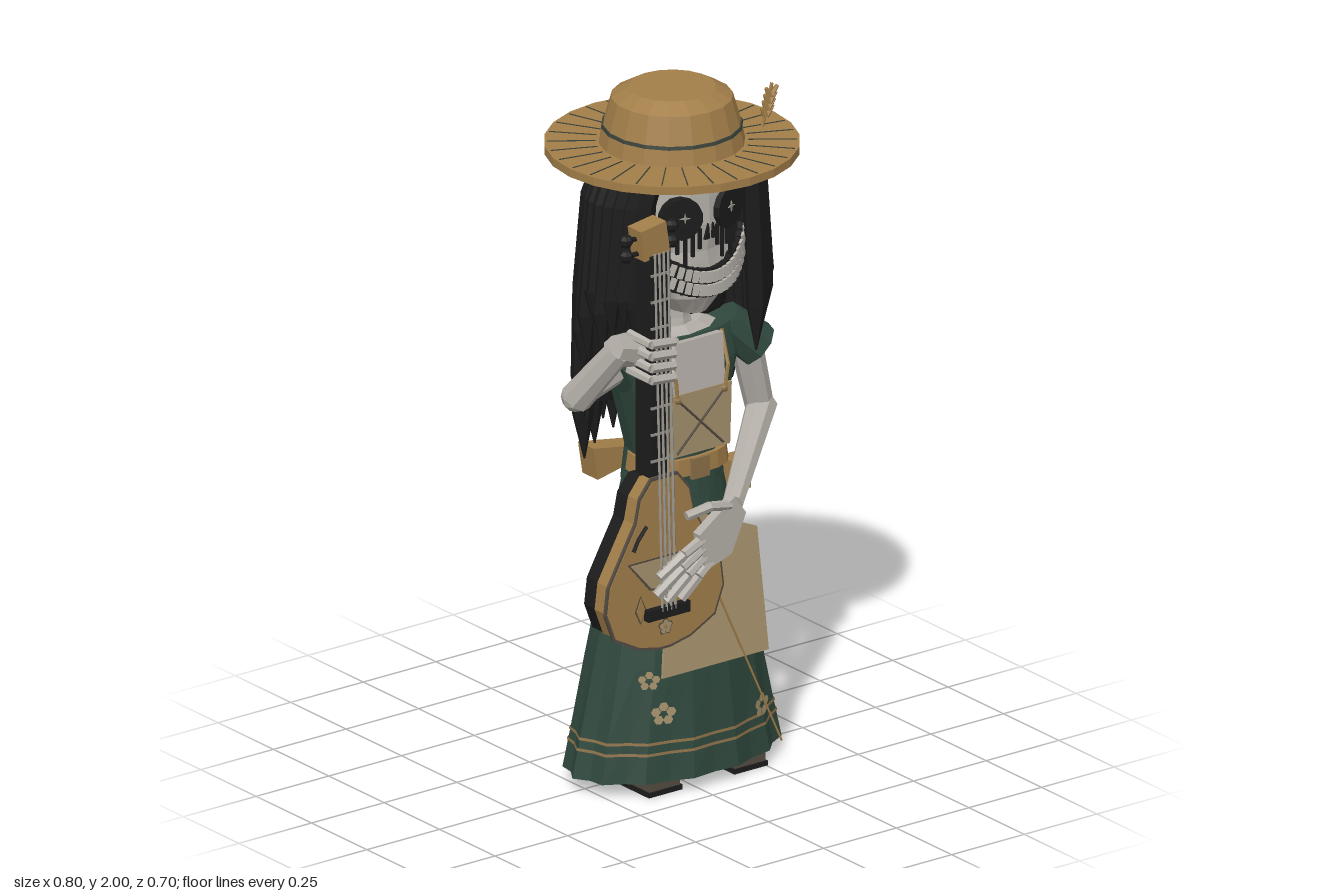
import * as THREE from 'three';

const mat = (name, color) => new THREE.MeshStandardMaterial({ name, color, flatShading: true, side: THREE.DoubleSide });
const STRAW = mat('straw', 0xa27e49), CREAM = mat('cream cloth', 0xa8946e), GREEN = mat('green cloth', 0x2f483d),
  BONE = mat('bone', 0xb4afa8), BLACK = mat('black', 0x1c1c1c), SHOE = mat('shoe brown', 0x554c42),
  STEEL = mat('string grey', 0x96918a), BAND = mat('dark green band', 0x39423a), TRIM = mat('trim', 0x8c7048);

const CX = 0.05; // body axis
const V = (p) => new THREE.Vector3(...p);

export function createModel() {
  const root = new THREE.Group();
  const group = (name) => { const g = new THREE.Group(); g.name = name; root.add(g); return g; };
  const add = (parent, name, geo, m, pos = [0, 0, 0], rot = [0, 0, 0]) => {
    const mesh = new THREE.Mesh(geo, m);
    mesh.name = name;
    mesh.position.set(...pos);
    mesh.rotation.set(...rot);
    parent.add(mesh);
    return mesh;
  };
  const box = (parent, name, m, size, pos, rot) => add(parent, name, new THREE.BoxGeometry(...size), m, pos, rot);

  // Tapered rod between two points
  const rod = (parent, name, m, a, b, r0, r1 = r0, sides = 7) => {
    const A = V(a), B = V(b), d = B.clone().sub(A);
    const mesh = add(parent, name, new THREE.CylinderGeometry(r1, r0, d.length(), sides), m);
    mesh.position.copy(A).add(B).multiplyScalar(0.5);
    mesh.quaternion.setFromUnitVectors(new THREE.Vector3(0, 1, 0), d.normalize());
  };
  const chain = (parent, name, m, pts, r, sides = 6) => {
    for (let i = 1; i < pts.length; i++) rod(parent, name, m, pts[i - 1], pts[i], r, r * 0.9, sides);
  };

  // Oval rings [y, rx, rz, cx, cz] from top to bottom; power squares the oval, pleat folds it
  const loft = (parent, name, m, rings, n = 12, power = 1, pleat = 0, open = false) => {
    const seg = rings.length - 1;
    const geo = new THREE.CylinderGeometry(1, 1, 1, n, seg, open), p = geo.attributes.position;
    const sq = (v) => Math.sign(v) * Math.abs(v) ** power;
    for (let i = 0; i < p.count; i++) {
      const x = p.getX(i), z = p.getZ(i), row = Math.round((0.5 - p.getY(i)) * seg);
      const [y, rx, rz, cx = CX, cz = 0] = rings[row];
      const k = Math.round(Math.atan2(z, x) / Math.PI / 2 * n);
      const f = 1 + (k % 2 ? -pleat : pleat) * (open ? 1 : row / seg);
      p.setXYZ(i, cx + sq(x) * rx * f, y, cz + sq(z) * rz * f);
    }
    geo.computeVertexNormals();
    return add(parent, name, geo, m);
  };
  // Flat outline with a thickness
  const plate = (parent, name, m, pts, depth, pos, rot) => add(parent, name,
    new THREE.ExtrudeGeometry(new THREE.Shape(pts.map(([x, y]) => new THREE.Vector2(x, y))), { depth, bevelEnabled: false }), m, pos, rot);
  const flower = (parent, m, x, y, z, s, turn = 0) => {
    for (let i = 0; i < 5; i++) {
      const a = i * Math.PI * 0.4 + 0.3, dx = Math.cos(a) * s * 0.62;
      add(parent, 'flowerPetal', new THREE.CircleGeometry(s * 0.42, 6), m, [x + dx, y + Math.sin(a) * s * 0.62, z - dx * Math.tan(turn)], [0, turn, 0]);
    }
  };

  // Hat
  const hat = group('hat');
  loft(hat, 'hatBrim', STRAW, [[1.836, 0.352, 0.352], [1.812, 0.352, 0.352]], 24);
  loft(hat, 'hatCrown', STRAW, [[1.997, 0.12, 0.12], [1.97, 0.168, 0.168], [1.885, 0.192, 0.192], [1.83, 0.203, 0.203]], 18);
  loft(hat, 'hatBand', BAND, [[1.891, 0.194, 0.194], [1.882, 0.196, 0.196]], 18);
  for (let i = 0; i < 30; i++) {
    const a = i / 30 * Math.PI * 2;
    box(hat, 'brimStitch', BAND, [0.132, 0.004, 0.003], [CX + Math.cos(a) * 0.276, 1.836, Math.sin(a) * 0.276], [0, -a, 0]);
  }
  rod(hat, 'wheatStem', STRAW, [0.25, 1.875, 0.145], [0.283, 1.995, 0.145], 0.005);
  for (let i = 0; i < 4; i++) for (const s of [-1, 1]) {
    rod(hat, 'wheatGrain', STRAW, [0.262 + i * 0.005, 1.905 + i * 0.018, 0.145], [0.268 + i * 0.005 + s * 0.02, 1.93 + i * 0.018, 0.145], 0.012, 0.005, 5);
  }

  // Skull
  const head = group('skull');
  loft(head, 'skullBone', BONE, [[1.82, 0.1, 0.1, 0.055, 0.02], [1.75, 0.145, 0.14, 0.055, 0.02], [1.64, 0.148, 0.143, 0.055, 0.02],
    [1.56, 0.13, 0.132, 0.055, 0.02], [1.49, 0.165, 0.135, 0.065, 0.02], [1.42, 0.12, 0.13, 0.062, 0.02], [1.365, 0.055, 0.09, 0.06, 0.03]], 16);
  const faceZ = (x) => 0.027 + 0.14 * Math.sqrt(Math.max(0.1, 1 - ((x - 0.055) / 0.16) ** 2));
  for (const s of [-1, 1]) {
    const ex = 0.05 + s * 0.079;
    add(head, 'eyeSocket', new THREE.CylinderGeometry(0.061, 0.061, 0.03, 14), BLACK, [ex, 1.67, 0.142], [Math.PI / 2, 0, -s * 0.35]);
    const star = Array.from({ length: 8 }, (_, i) => {
      const r = i % 2 ? 0.004 : 0.016, a = i * Math.PI / 4;
      return [Math.cos(a) * r, Math.sin(a) * r];
    });
    plate(head, 'eyeStar', STEEL, star, 0.004, [ex, 1.675, 0.162], [0, s * 0.35, 0]);
    for (let i = 0; i < 6; i++) {
      const x = ex + (i - 2.5) * 0.02, len = [0.06, 0.1, 0.07, 0.11, 0.08, 0.06][i];
      box(head, 'eyeDrip', BLACK, [0.009, len, 0.008], [x, 1.635 - len / 2, faceZ(x)]);
    }
    plate(head, 'noseHole', BLACK, [[0, 0], [s * 0.018, 0], [s * 0.004, 0.045]], 0.008, [0.055 + s * 0.004, 1.6, 0.163]);
  }
  // Wide grin: dark band with two rows of teeth
  for (let i = -9; i <= 9; i++) {
    const t = i / 9, x = 0.066 + t * 0.166, y = 1.468 + 0.068 * t * t, z = 0.162 - 0.09 * t * t;
    box(head, 'mouthGap', BLACK, [0.024, 0.082, 0.02], [x, y, z - 0.004], [0, t * 0.75, t * 0.5]);
    for (const s of [-1, 1]) box(head, 'tooth', BONE, [0.016, 0.032, 0.022], [x, y + s * 0.0195, z + 0.004], [0, t * 0.75, t * 0.5]);
  }

  // Hair: scalp mass, fringe and a curtain of pointed locks
  const hair = group('hair');
  loft(hair, 'hairMass', BLACK, [[1.82, 0.18, 0.12, CX, -0.03], [1.7, 0.24, 0.12, CX, -0.04], [1.3, 0.235, 0.08, CX, -0.075], [1.08, 0.2, 0.045, CX, -0.115]], 14);
  loft(hair, 'hairFringe', BLACK, [[1.82, 0.18, 0.17], [1.785, 0.21, 0.172], [1.748, 0.205, 0.158]], 16);
  const N = 29;
  for (let i = 0; i < N; i++) {
    const a = (-42 + 266 * i / (N - 1)) * Math.PI / 180, c = Math.cos(a), s = -Math.sin(a);
    const j = (i * 7 % 5) / 5, back = Math.min(1, Math.max(0, -s) * 2);
    const tip = (c > 0 ? 1.24 : 1.32) - back * (c > 0 ? 0.27 : 0.35) + (j - 0.4) * 0.1;
    const ring = (y, k, r) => [y, r, r * 0.8, CX + c * (c > 0 ? 0.27 : 0.262) * k, s > 0 ? s * 0.16 * (2 - k) : -0.14 * Math.abs(s) ** 0.85 * k];
    loft(hair, 'hairLock', BLACK, [ring(1.82, 0.82, 0.03), ring(1.72, 0.96, 0.034), ring(1.45, 1.05, 0.036), ring(tip + 0.13, 1.08, 0.034), ring(tip, 1.06, 0.003)], 5);
  }

  // Neck, chest and bodice
  const torso = group('torso');
  loft(torso, 'neck', BONE, [[1.42, 0.045, 0.045], [1.33, 0.05, 0.05], [1.27, 0.075, 0.06]], 9);
  loft(torso, 'collarBones', BONE, [[1.31, 0.09, 0.06], [1.285, 0.15, 0.085]], 10);
  loft(torso, 'bodice', GREEN, [[1.29, 0.19, 0.09], [1.2, 0.2, 0.115], [1.1, 0.17, 0.118], [0.95, 0.13, 0.112], [0.86, 0.145, 0.115]], 16, 0.8);
  plate(torso, 'chest', BONE, [[-0.085, 0], [0.085, 0], [0.09, 0.145], [-0.09, 0.145]], 0.03, [CX, 1.14, 0.1], [-0.12, 0, 0]);
  plate(torso, 'bodicePanel', CREAM, [[-0.1, 0], [0.105, 0], [0.105, 0.185], [-0.105, 0.185]], 0.008, [CX, 0.96, 0.117], [0.04, 0, 0]);
  for (const s of [-1, 1]) {
    rod(torso, 'bodiceLace', SHOE, [CX - s * 0.08, 1.13, 0.132], [CX + s * 0.08, 0.97, 0.128], 0.0035);
    add(torso, 'laceKnot', new THREE.SphereGeometry(0.011, 6, 5), TRIM, [CX + s * 0.08, 1.13, 0.132]);
    chain(torso, 'bodiceCord', STRAW, [[CX + s * 0.095, 1.29, 0.098], [CX + s * 0.09, 1.2, 0.135], [CX + s * 0.08, 1.12, 0.132]], 0.006);
  }

  // Skirt with hem stripes, apron and flowers
  const skirt = group('skirt');
  loft(skirt, 'skirtCloth', GREEN, [[0.88, 0.145, 0.115], [0.7, 0.187, 0.14], [0.36, 0.265, 0.175], [0.15, 0.31, 0.19], [0.04, 0.333, 0.2]], 28, 1, 0.03);
  for (const y of [0.122, 0.152]) {
    const k = 0.152 - y;
    loft(skirt, 'hemStripe', TRIM, [[y + 0.004, 0.312 + k * 0.23, 0.192 + k * 0.1], [y - 0.004, 0.314 + k * 0.23, 0.193 + k * 0.1]], 28, 1, 0.023, true);
  }
  const tilt = [-0.075, 0, 0];
  plate(skirt, 'apron', CREAM, [[-0.13, 0], [0.235, 0], [0.215, 0.36], [0.03, 0.44], [-0.08, 0.44]], 0.008, [0, 0.355, 0.187], tilt);
  plate(skirt, 'apronPocketEdge', SHOE, [[-0.074, 0], [0.056, 0], [0.056, 0.1], [-0.074, 0.1]], 0.004, [0, 0.5, 0.186], tilt);
  plate(skirt, 'apronPocket', CREAM, [[-0.07, 0], [0.052, 0], [0.052, 0.095], [-0.07, 0.095]], 0.005, [0, 0.503, 0.188], tilt);
  rod(skirt, 'apronCord', STRAW, [0.055, 0.58, 0.189], [0.275, 0.08, 0.2], 0.003);
  for (const [x, y, z, s, turn] of [[-0.11, 0.24, 0.172, 0.034, -0.4], [0.225, 0.19, 0.176, 0.034, 0.4], [-0.14, 0.335, 0.146, 0.028, -0.55]]) {
    flower(skirt, CREAM, x, y, z, s, turn);
  }

  // Belt, pouch and back bow
  const belt = group('belt');
  loft(belt, 'beltStrap', STRAW, [[0.945, 0.142, 0.102, CX, 0.022], [0.895, 0.15, 0.104, CX, 0.022]], 16, 0.8);
  box(belt, 'buckle', TRIM, [0.06, 0.06, 0.012], [CX, 0.915, 0.126]);
  box(belt, 'pouch', STRAW, [0.058, 0.075, 0.055], [0.222, 0.833, 0.065]);
  box(belt, 'pouchFlap', STRAW, [0.07, 0.032, 0.066], [0.222, 0.87, 0.065]);
  box(belt, 'bowKnot', STRAW, [0.05, 0.055, 0.075], [CX - 0.015, 0.9, -0.128]);
  for (const s of [-1, 1]) {
    plate(belt, 'bowLoop', STRAW, [[0, -0.014], [s * 0.17, -0.05], [s * 0.185, 0.045], [0, 0.014]], 0.07, [CX - 0.015, 0.902, -0.162]);
  }

  // Shoes
  const shoes = group('shoes');
  for (const s of [-1, 1]) {
    box(shoes, 'shoeSole', BLACK, [0.116, 0.014, 0.21], [CX + s * 0.147, 0.007, 0.06]);
    box(shoes, 'shoeUpper', SHOE, [0.106, 0.045, 0.2], [CX + s * 0.147, 0.035, 0.06]);
  }

  // Left arm strumming
  const leftArm = group('leftArm');
  rod(leftArm, 'leftSleeve', GREEN, [0.21, 1.28, 0.02], [0.305, 1.19, 0.045], 0.055, 0.068, 9);
  rod(leftArm, 'leftUpperArm', BONE, [0.27, 1.23, 0.035], [0.328, 1.0, 0.03], 0.047, 0.04, 8);
  rod(leftArm, 'leftForearm', BONE, [0.34, 1.0, 0.025], [0.03, 0.865, 0.3], 0.044, 0.03, 8);
  plate(leftArm, 'leftPalm', BONE, [[0.06, 0.84], [0.02, 0.895], [-0.1, 0.81], [-0.08, 0.7], [0.01, 0.73]], 0.03, [0, 0, 0.292]);
  chain(leftArm, 'leftThumb', BONE, [[0.01, 0.87, 0.312], [-0.06, 0.885, 0.318], [-0.135, 0.87, 0.308]], 0.015);
  for (const [x0, y0, x1, y1] of [[-0.08, 0.79, -0.225, 0.71], [-0.08, 0.765, -0.235, 0.66], [-0.075, 0.74, -0.2, 0.635], [-0.055, 0.72, -0.15, 0.63]]) {
    chain(leftArm, 'leftFinger', BONE, [[x0, y0, 0.308], [(x0 + x1) / 2, (y0 + y1) / 2 + 0.015, 0.318], [x1, y1, 0.303]], 0.016);
  }

  // Right arm holding the neck of the lute
  const rightArm = group('rightArm');
  rod(rightArm, 'rightSleeve', GREEN, [-0.1, 1.27, 0.02], [-0.2, 1.22, 0.05], 0.055, 0.068, 9);
  rod(rightArm, 'rightUpperArm', BONE, [-0.17, 1.24, 0.045], [-0.355, 1.215, 0.1], 0.045, 0.042, 8);
  add(rightArm, 'rightElbow', new THREE.SphereGeometry(0.042, 8, 6), BONE, [-0.357, 1.21, 0.1]);
  rod(rightArm, 'rightForearm', BONE, [-0.357, 1.205, 0.1], [-0.3, 1.37, 0.22], 0.046, 0.038, 8);
  rod(rightArm, 'rightPalm', BONE, [-0.32, 1.38, 0.22], [-0.235, 1.35, 0.2], 0.036, 0.052, 7);
  for (let i = 0; i < 4; i++) {
    const y = 1.28 + i * 0.035;
    chain(rightArm, 'rightFinger', BONE, [[-0.255, y + 0.02, 0.205], [-0.24, y + 0.008, 0.286], [-0.16, y, 0.288], [-0.15, y, 0.245]], 0.014);
  }

  // Lute
  const lute = group('lute');
  const LX = -0.195;
  const half = [[0.045, 1], [0.085, 0.95], [0.1, 0.88], [0.145, 0.8], [0.195, 0.71], [0.205, 0.63], [0.175, 0.55], [0.09, 0.505], [0.02, 0.49]];
  const outline = (k) => [...half, ...half.map(([x, y]) => [-x, y]).reverse()].map(([x, y]) => [x * k, 0.72 + (y - 0.72) * k]);
  plate(lute, 'luteBack', BLACK, outline(0.95), 0.052, [LX, 0, 0.18]);
  plate(lute, 'luteSide', STRAW, outline(0.96), 0.05, [LX, 0, 0.23]);
  plate(lute, 'luteRim', SHOE, outline(1), 0.009, [LX, 0, 0.279]);
  plate(lute, 'luteFront', STRAW, outline(0.965), 0.004, [LX, 0, 0.286]);
  plate(lute, 'pickGuardEdge', SHOE, [[-0.13, 0.765], [0.13, 0.765], [0.034, 0.654], [-0.054, 0.674]], 0.002, [LX, 0, 0.289]);
  plate(lute, 'pickGuard', CREAM, [[-0.12, 0.76], [0.12, 0.76], [0.03, 0.66], [-0.05, 0.68]], 0.004, [LX, 0, 0.289]);
  chain(lute, 'soundSlot', BLACK, [[-0.305, 0.8, 0.292], [-0.29, 0.83, 0.292], [-0.26, 0.865, 0.292]], 0.006);
  box(lute, 'bridge', BLACK, [0.145, 0.032, 0.025], [LX, 0.605, 0.298]);
  flower(lute, SHOE, LX, 0.556, 0.292, 0.025);
  flower(lute, CREAM, LX, 0.556, 0.2935, 0.021);
  plate(lute, 'leafEdge', SHOE, [[0, -0.04], [0.021, 0], [0, 0.045], [-0.019, 0]], 0.003, [-0.28, 0.62, 0.288]);
  plate(lute, 'leafInlay', STRAW, [[0, -0.033], [0.016, 0], [0, 0.038], [-0.014, 0]], 0.004, [-0.28, 0.62, 0.289]);
  box(lute, 'luteNeck', BLACK, [0.062, 0.66, 0.073], [LX, 1.31, 0.233]);
  for (let i = 0; i < 8; i++) box(lute, 'fret', STEEL, [0.066, 0.007, 0.006], [LX, 1.04 + i * 0.078, 0.27]);
  for (let i = 0; i < 4; i++) {
    const x = LX + (i - 1.5) * 0.015;
    rod(lute, 'string', STEEL, [x, 0.61, 0.308], [x, 1.65, 0.274], 0.0045, 0.0045, 4);
  }
  box(lute, 'headstock', STRAW, [0.088, 0.092, 0.06], [-0.205, 1.68, 0.23], [0, 0, 0.15]);
  for (const [s, y] of [[-1, 1.69], [-1, 1.645], [1, 1.7], [1, 1.655]]) {
    rod(lute, 'pegShaft', BLACK, [-0.205, y, 0.23], [-0.205 + s * 0.075, y, 0.23], 0.007);
    add(lute, 'pegKnob', new THREE.SphereGeometry(0.02, 7, 5), BLACK, [-0.205 + s * 0.078, y, 0.23]);
  }
  return root;
}
